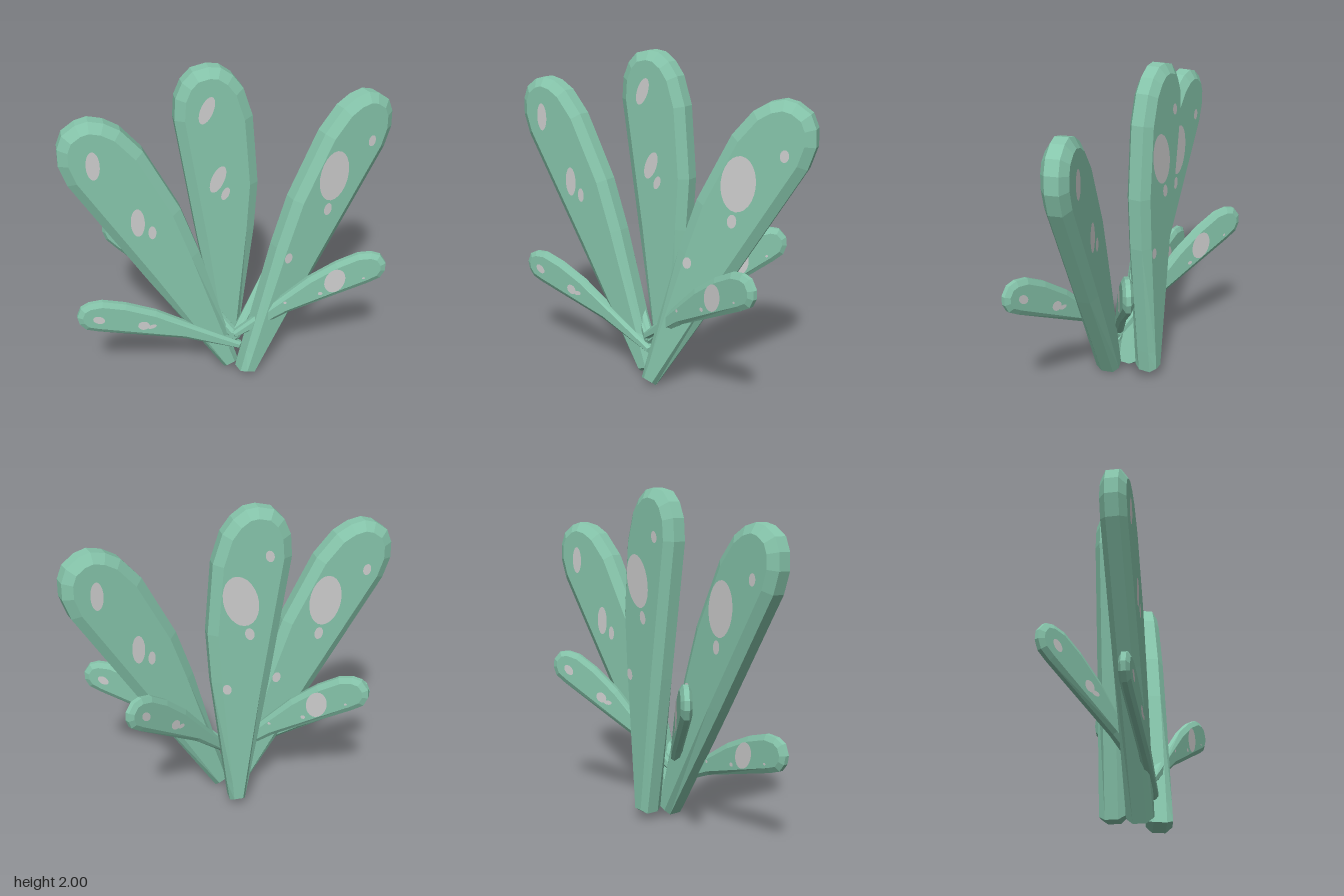
import * as THREE from 'three';

const green = new THREE.MeshStandardMaterial({ color: 0x86c5ab, flatShading: true });
green.name = 'sage green';
const grey = new THREE.MeshStandardMaterial({ color: 0xcdcdcd });
grey.name = 'pale grey';

// Outlines run counter-clockwise, with the foot at the origin
const LARGE = {
  outline: [[.05, 0], [.07, .15], [.16, .89], [.18, 1.21], [.145, 1.64], [.09, 1.81], [.03, 1.89], [-.04, 1.94],
    [-.11, 1.95], [-.2, 1.93], [-.26, 1.87], [-.3, 1.78], [-.31, 1.65], [-.19, .85], [-.05, 0]],
  half: .075, rim: .038, bevel: .055,
  // spots: x, y, radius x, radius y, tilt
  front: [[-.13, 1.71, .038, .085, -.39], [-.07, 1.27, .04, .09, -.39], [-.025, 1.17, .023, .043, -.39]],
  back: [[-.007, 1.416, .1, .16, -.3], [-.172, 1.674, .025, .035, -.3], [-.06, 1.205, .027, .04, -.3], [.075, .85, .026, .035, -.3]],
};
const SMALL = {
  outline: [[.01, .03], [-.17, .14], [-.52, .36], [-.7, .44], [-.84, .48], [-.92, .475], [-.97, .45], [-.995, .39],
    [-.985, .34], [-.95, .295], [-.88, .27], [-.36, .13], [0, -.015]],
  half: .03, rim: .013, bevel: .03,
  front: [[-.87, .365, .037, .025, -.5], [-.605, .28, .036, .03, -.3], [-.555, .265, .028, .014, .2]],
  back: [[-.68, .326, .06, .085, .5], [-.58, .249, .014, .012, 0], [-.853, .318, .009, .007, 0], [-.358, .216, .01, .009, 0]],
};

// Move each corner inward along its mitre, less near the narrow foot
function inset(points, depth) {
  const n = points.length;
  return points.map((p, i) => {
    const a = points[(i + n - 1) % n], b = points[(i + 1) % n];
    const d1 = p.clone().sub(a).normalize(), d2 = b.clone().sub(p).normalize();
    const n1 = new THREE.Vector2(-d1.y, d1.x), n2 = new THREE.Vector2(-d2.y, d2.x);
    const m = n1.clone().add(n2).normalize();
    const d = depth * Math.min(1, .4 + p.length());
    return p.clone().addScaledVector(m, d / Math.max(.5, m.dot(n1)));
  });
}

// Four loops: back face, back rim, front rim, front face
function bladeGeometry({ outline, half, rim, bevel }) {
  const outer = outline.map(([x, y]) => new THREE.Vector2(x, y));
  const inner = inset(outer, bevel);
  const n = outer.length, pos = [], idx = [];
  for (const [loop, z] of [[inner, -half], [outer, -rim], [outer, rim], [inner, half]])
    for (const p of loop) pos.push(p.x, p.y, z);
  for (let k = 0; k < 3; k++)
    for (let i = 0; i < n; i++) {
      const j = (i + 1) % n, a = k * n + i, b = k * n + j;
      idx.push(a, b, b + n, a, b + n, a + n);
    }
  for (const [a, b, c] of THREE.ShapeUtils.triangulateShape(inner, []))
    idx.push(a + 3 * n, b + 3 * n, c + 3 * n, c, b, a);
  const indexed = new THREE.BufferGeometry();
  indexed.setAttribute('position', new THREE.Float32BufferAttribute(pos, 3));
  indexed.setIndex(idx);
  const g = indexed.toNonIndexed();
  g.computeVertexNormals();
  return g;
}

// One blade with its spots on both faces
function makeBlade(type, geometry, name) {
  const blade = new THREE.Group();
  blade.name = name;
  const body = new THREE.Mesh(geometry, green);
  body.name = 'bladeBody';
  blade.add(body);
  for (const side of ['front', 'back'])
    for (const [x, y, rx, ry, tilt] of type[side]) {
      const s = side === 'front' ? 1 : -1;
      const g = new THREE.CircleGeometry(1, 24).scale(rx, ry, 1);
      if (s < 0) g.rotateY(Math.PI);
      g.rotateZ(tilt).translate(x, y, s * (type.half + .003));
      const spot = new THREE.Mesh(g, grey);
      spot.name = side + 'Spot';
      blade.add(spot);
    }
  return blade;
}

export function createModel() {
  const model = new THREE.Group();
  model.name = 'spottedPlant';
  const large = bladeGeometry(LARGE), small = bladeGeometry(SMALL);
  const rad = THREE.MathUtils.degToRad;
  // name, type, foot position, turn about y, lean in its own plane, scale
  const blades = [
    ['tallRightBlade', LARGE, [-.02, .035, .075], 0, 22.5, 1],
    ['tallMiddleBlade', LARGE, [0, .05, -.085], 0, 0, 1],
    ['tallLeftBlade', LARGE, [.055, .02, .17], 194, 22.5, 1],
    ['lowFrontRightBlade', SMALL, [.03, .19, .14], 0, 0, 1],
    ['lowFrontLeftBlade', SMALL, [0, .27, .13], 165, -11, 1],
    ['lowBackRightBlade', SMALL, [.02, .24, .13], -33, -15, 1.05],
    ['lowBackLeftBlade', SMALL, [0, .25, .13], 213.5, -18, 1],
  ];
  for (const [name, type, foot, turn, lean, scale] of blades) {
    const blade = makeBlade(type, type === LARGE ? large : small, name);
    blade.position.set(...foot);
    blade.rotation.set(0, rad(turn), rad(lean), 'YXZ');
    blade.scale.setScalar(scale);
    model.add(blade);
  }
  return model;
}
